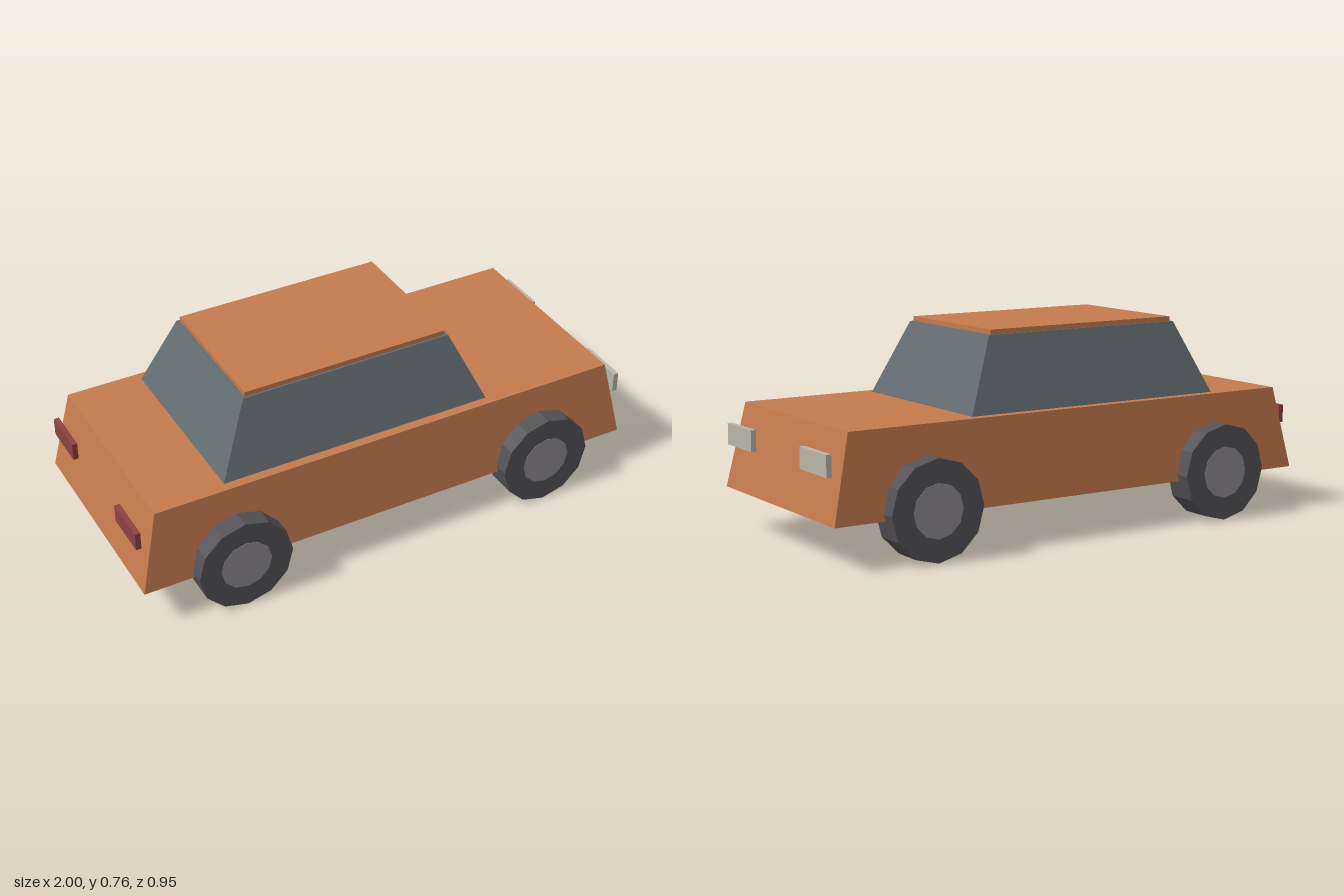
import * as THREE from 'three';

const material = (color) => new THREE.MeshStandardMaterial({ color, flatShading: true });

// Box whose top is narrowed by the ratios tx and tz
function taperedBox(w, h, d, tx = 1, tz = 1) {
  const geo = new THREE.BoxGeometry(w, h, d);
  const p = geo.attributes.position;
  for (let i = 0; i < p.count; i++) {
    if (p.getY(i) > 0) p.setXYZ(i, p.getX(i) * tx, p.getY(i), p.getZ(i) * tz);
  }
  geo.computeVertexNormals();
  return geo;
}

export function createModel() {
  const car = new THREE.Group();
  car.name = 'car';
  const paint = material(0xc47b4d);
  const glass = material(0x626d71);
  const rubber = material(0x545256);
  const metal = material(0x8f8c91);
  const lamp = material(0xb8b5a8);
  const red = material(0x8c4242);

  const add = (name, geo, mat, x, y, z) => {
    const mesh = new THREE.Mesh(geo, mat);
    mesh.name = name;
    mesh.position.set(x, y, z);
    car.add(mesh);
    return mesh;
  };

  // Body, glazed cabin and roof panel
  add('body', taperedBox(1.99, 0.312, 0.842, 0.93, 0.932), paint, -0.004, 0.315, 0);
  add('cabin', taperedBox(1.066, 0.27, 0.714, 0.77, 0.77), glass, -0.119, 0.605, 0);
  add('roof', taperedBox(0.8, 0.02, 0.535), paint, -0.119, 0.748, 0);

  // Wheels, hubs and lights, mirrored across the length
  const tyre = new THREE.CylinderGeometry(0.182, 0.182, 0.114, 12).rotateX(Math.PI / 2);
  const hub = new THREE.CylinderGeometry(0.098, 0.098, 0.117, 12).rotateX(Math.PI / 2);
  const headlight = new THREE.BoxGeometry(0.02, 0.078, 0.193);
  const taillight = new THREE.BoxGeometry(0.02, 0.068, 0.18);
  for (const side of [-1, 1]) {
    for (const [end, x] of [['rear', -0.63], ['front', 0.622]]) {
      add(end + 'Tyre', tyre, rubber, x, 0.183, side * 0.417);
      add(end + 'Hub', hub, metal, x, 0.183, side * 0.417);
    }
    add('headlight', headlight, lamp, 0.988, 0.361, side * 0.286);
    add('taillight', taillight, red, -0.989, 0.361, side * 0.286);
  }
  return car;
}
